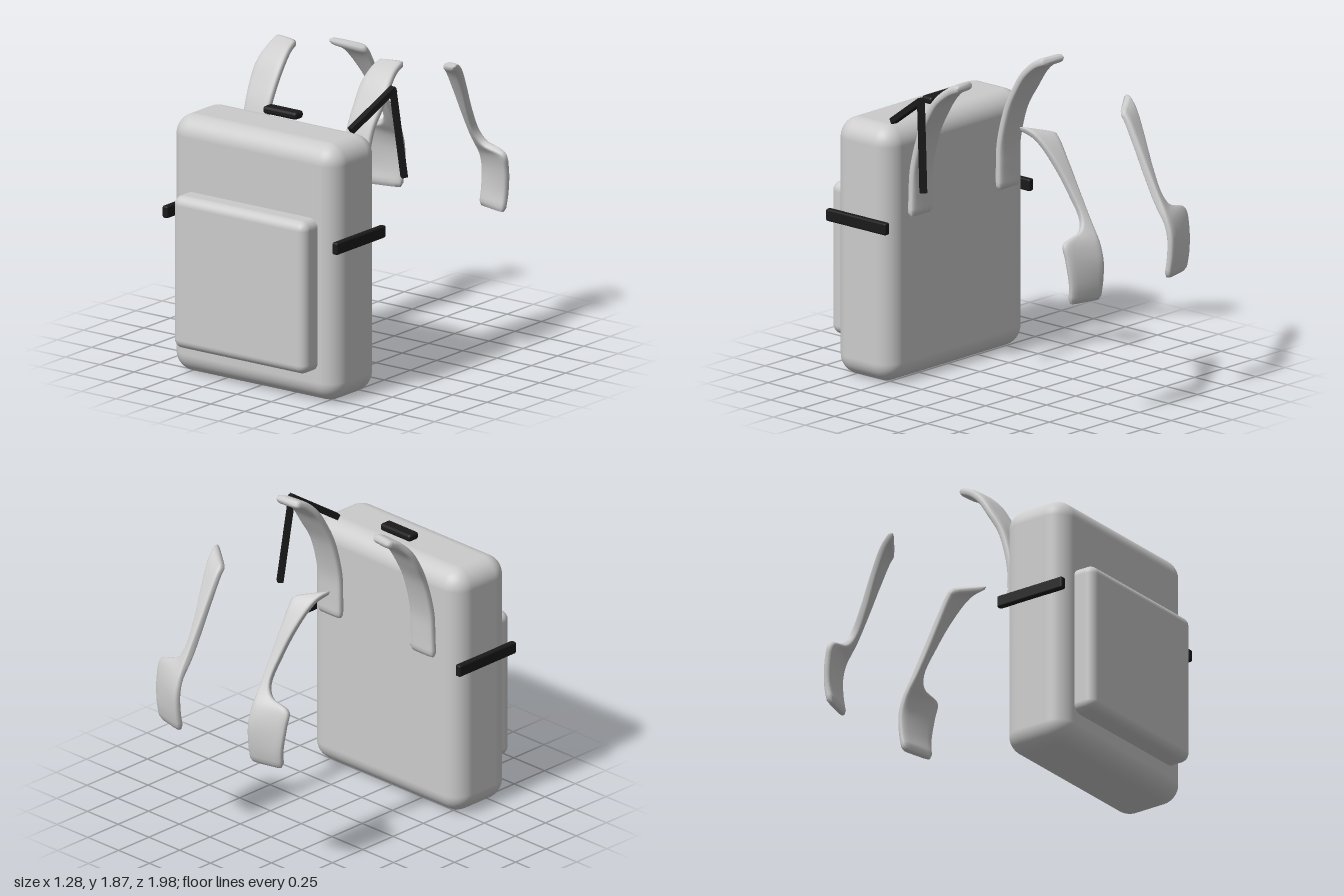
import * as THREE from 'three';
import { RoundedBoxGeometry } from 'three/addons/geometries/RoundedBoxGeometry.js';

const fabric = new THREE.MeshStandardMaterial({ color: 0xcccccc, side: THREE.DoubleSide });
const webbing = new THREE.MeshStandardMaterial({ color: 0x1a1a1a });

function roundedBox(name, size, centre, radius, material, segments = 6) {
  const mesh = new THREE.Mesh(new RoundedBoxGeometry(...size, segments, radius), material);
  mesh.name = name;
  mesh.position.set(...centre);
  return mesh;
}

// Padded strap lofted between an inner and an outer edge.
// Each row holds inner x, y, z and outer x, y, z; side mirrors it across x.
function paddedStrap(name, rows, thickness, side) {
  const curve = (k) => new THREE.CatmullRomCurve3(
    rows.map((r) => new THREE.Vector3(side * r[k], r[k + 1], r[k + 2])));
  const inner = curve(0), outer = curve(3);
  const steps = 40, around = 20;
  const pos = [], index = [];
  for (let i = 0; i <= steps; i++) {
    const t = i / steps;
    const a = inner.getPoint(t), b = outer.getPoint(t);
    const across = b.clone().sub(a);
    const tangent = inner.getTangent(t).add(outer.getTangent(t));
    const normal = new THREE.Vector3().crossVectors(across, tangent).normalize();
    const mid = a.clone().add(b).multiplyScalar(0.5);
    // The two ends close with a small rounded shrink
    const end = Math.min(i, steps - i);
    const fat = end === 0 ? 0.55 : 1;
    const wide = end === 0 ? 0.9 : 1;
    for (let j = 0; j < around; j++) {
      const ang = (j / around) * Math.PI * 2;
      const c = Math.cos(ang), s = Math.sin(ang);
      const u = Math.sign(c) * Math.pow(Math.abs(c), 0.45) * 0.5 * wide;
      const v = Math.sign(s) * Math.pow(Math.abs(s), 0.6) * 0.5 * thickness * fat;
      const p = mid.clone().addScaledVector(across, u).addScaledVector(normal, v);
      pos.push(p.x, p.y, p.z);
    }
  }
  const quad = (a, b, c, d) => index.push(a, b, c, a, c, d);
  for (let i = 0; i < steps; i++) {
    for (let j = 0; j < around; j++) {
      const k = (j + 1) % around;
      quad(i * around + j, i * around + k, (i + 1) * around + k, (i + 1) * around + j);
    }
  }
  const last = steps * around;
  for (let j = 1; j < around - 1; j++) {
    index.push(0, j + 1, j);
    index.push(last, last + j, last + j + 1);
  }
  const geometry = new THREE.BufferGeometry();
  geometry.setAttribute('position', new THREE.Float32BufferAttribute(pos, 3));
  geometry.setIndex(index);
  geometry.computeVertexNormals();
  const mesh = new THREE.Mesh(geometry, fabric);
  mesh.name = name;
  return mesh;
}

// Straight piece of webbing between two points
function webbingPiece(name, from, to) {
  const a = new THREE.Vector3(...from), b = new THREE.Vector3(...to);
  const mesh = new THREE.Mesh(new THREE.BoxGeometry(0.04, 0.035, a.distanceTo(b) + 0.02), webbing);
  mesh.name = name;
  mesh.position.copy(a).add(b).multiplyScalar(0.5);
  mesh.lookAt(b);
  return mesh;
}

export function createModel() {
  const group = new THREE.Group();
  group.name = 'backpack';

  // Main bag and front pocket
  group.add(roundedBox('mainBag', [1.21, 1.55, 0.44], [-0.003, 0.785, 0.64], 0.12, fabric, 8));
  group.add(roundedBox('frontPocket', [0.97, 0.92, 0.24], [-0.003, 0.66, 0.87], 0.055, fabric));

  // Top handle
  group.add(roundedBox('topHandle', [0.245, 0.046, 0.08], [0, 1.612, 0.56], 0.018, webbing, 2));

  // Upper shoulder strap, from the bag's back up and over
  const upper = [
    [0.285, 1.02, 0.375, 0.47, 1.02, 0.375],
    [0.285, 1.15, 0.375, 0.465, 1.15, 0.375],
    [0.285, 1.3, 0.368, 0.465, 1.3, 0.365],
    [0.285, 1.52, 0.31, 0.465, 1.52, 0.305],
    [0.285, 1.65, 0.245, 0.48, 1.65, 0.235],
    [0.285, 1.75, 0.18, 0.48, 1.75, 0.17],
    [0.295, 1.82, 0.105, 0.465, 1.82, 0.09],
    [0.305, 1.855, 0.03, 0.46, 1.86, 0.005],
  ];
  // Lower shoulder strap: slanted top, narrow waist, flared pad
  const lower = [
    [0.285, 1.68, -0.6, 0.465, 1.725, -0.47],
    [0.285, 1.63, -0.64, 0.43, 1.68, -0.56],
    [0.285, 1.5, -0.71, 0.385, 1.54, -0.67],
    [0.285, 1.35, -0.79, 0.35, 1.37, -0.765],
    [0.285, 1.2, -0.875, 0.34, 1.22, -0.845],
    [0.285, 1.13, -0.92, 0.38, 1.155, -0.87],
    [0.285, 1.06, -0.955, 0.515, 1.11, -0.875],
    [0.285, 0.98, -0.975, 0.52, 1.01, -0.9],
    [0.285, 0.86, -0.97, 0.505, 0.86, -0.915],
    [0.285, 0.75, -0.95, 0.495, 0.75, -0.9],
  ];
  for (const [label, side] of [['left', 1], ['right', -1]]) {
    group.add(paddedStrap(label + 'UpperShoulderStrap', upper, 0.052, side));
    group.add(paddedStrap(label + 'LowerShoulderStrap', lower, 0.052, side));
    group.add(roundedBox(label + 'CompressionStrap', [0.04, 0.074, 0.47],
      [side * 0.619, 0.97, 0.645], 0.012, webbing, 2));
  }

  // Folded load strap on the left
  const apex = [0.54, 1.765, 0.22];
  group.add(webbingPiece('loadStrapTop', [0.46, 1.575, 0.505], apex));
  group.add(webbingPiece('loadStrapTail', apex, [0.58, 1.24, 0.165]));
  return group;
}
